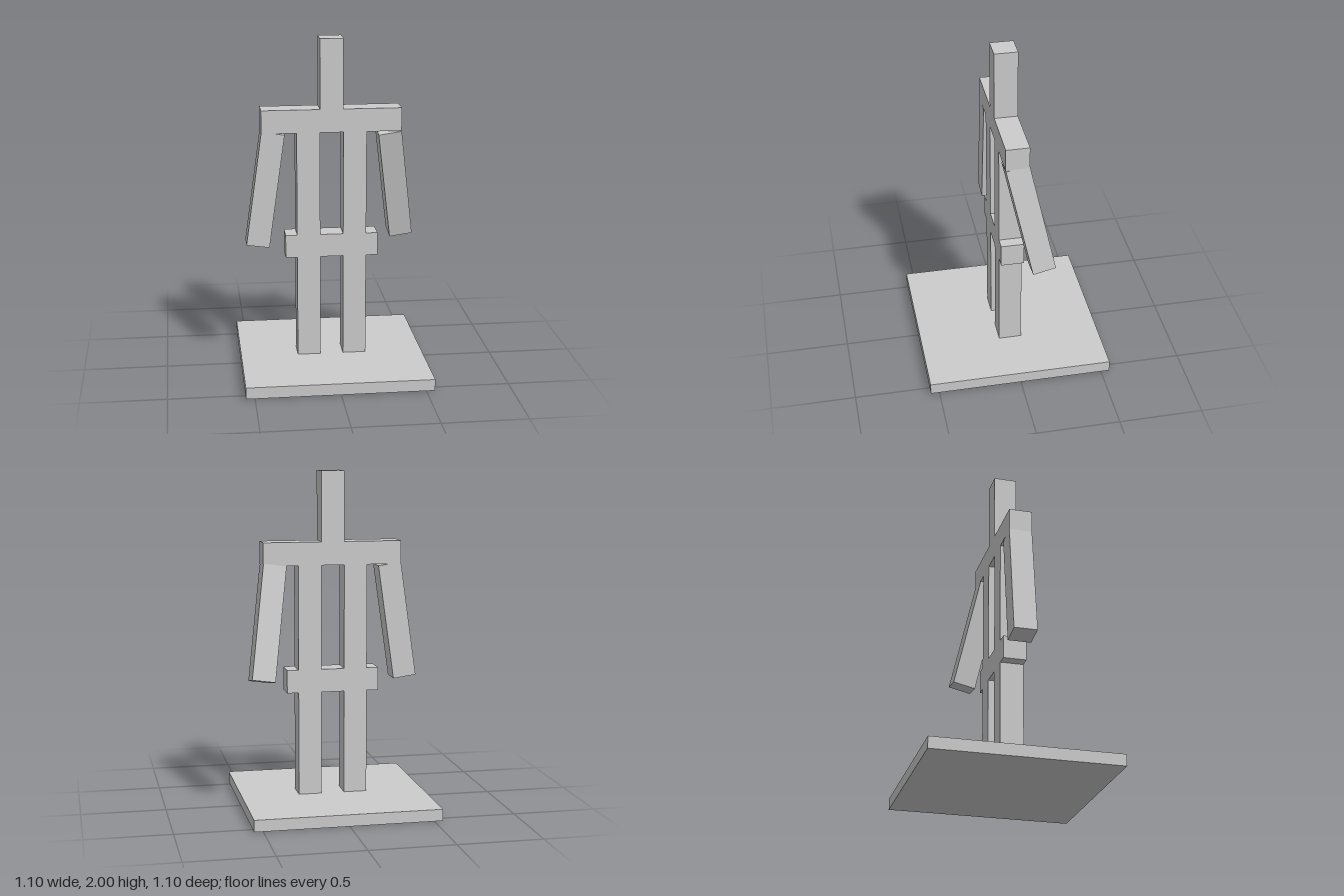
import * as THREE from 'three';

const U = 2 / 29; // one block unit: the figure is 29 units tall

export function createModel() {
  const group = new THREE.Group();
  const material = new THREE.MeshStandardMaterial({ color: 0xcccccc, flatShading: true });

  // Box with its base at height y, sizes in block units
  const beam = (name, w, h, d, x, y) => {
    const mesh = new THREE.Mesh(new THREE.BoxGeometry(w * U, h * U, d * U), material);
    mesh.name = name;
    mesh.position.set(x * U, (y + h / 2) * U, 0);
    group.add(mesh);
  };

  beam('basePlate', 16, 1, 16, 0, 0);
  beam('hipBar', 8, 2, 2, 0, 10);
  beam('shoulderBar', 12, 2, 2, 0, 21);
  beam('head', 2, 6, 2, 0, 23);

  for (const [side, s] of [['left', 1], ['right', -1]]) {
    beam(side + 'Leg', 2, 9, 2, 2 * s, 1);
    beam(side + 'TorsoPost', 2, 9, 2, 2 * s, 12);

    // Arm hangs from the shoulder, splayed outward; the left one also swings back
    const geometry = new THREE.BoxGeometry(2 * U, 10 * U, 2 * U).translate(0, -5 * U, 0);
    const arm = new THREE.Mesh(geometry, material);
    arm.name = side + 'Arm';
    arm.position.set(5 * U * s, 21 * U, 0);
    const swing = s > 0 ? THREE.MathUtils.degToRad(12) : 0;
    arm.rotation.set(swing, 0, s * THREE.MathUtils.degToRad(8), 'ZYX');
    group.add(arm);
  }
  return group;
}
